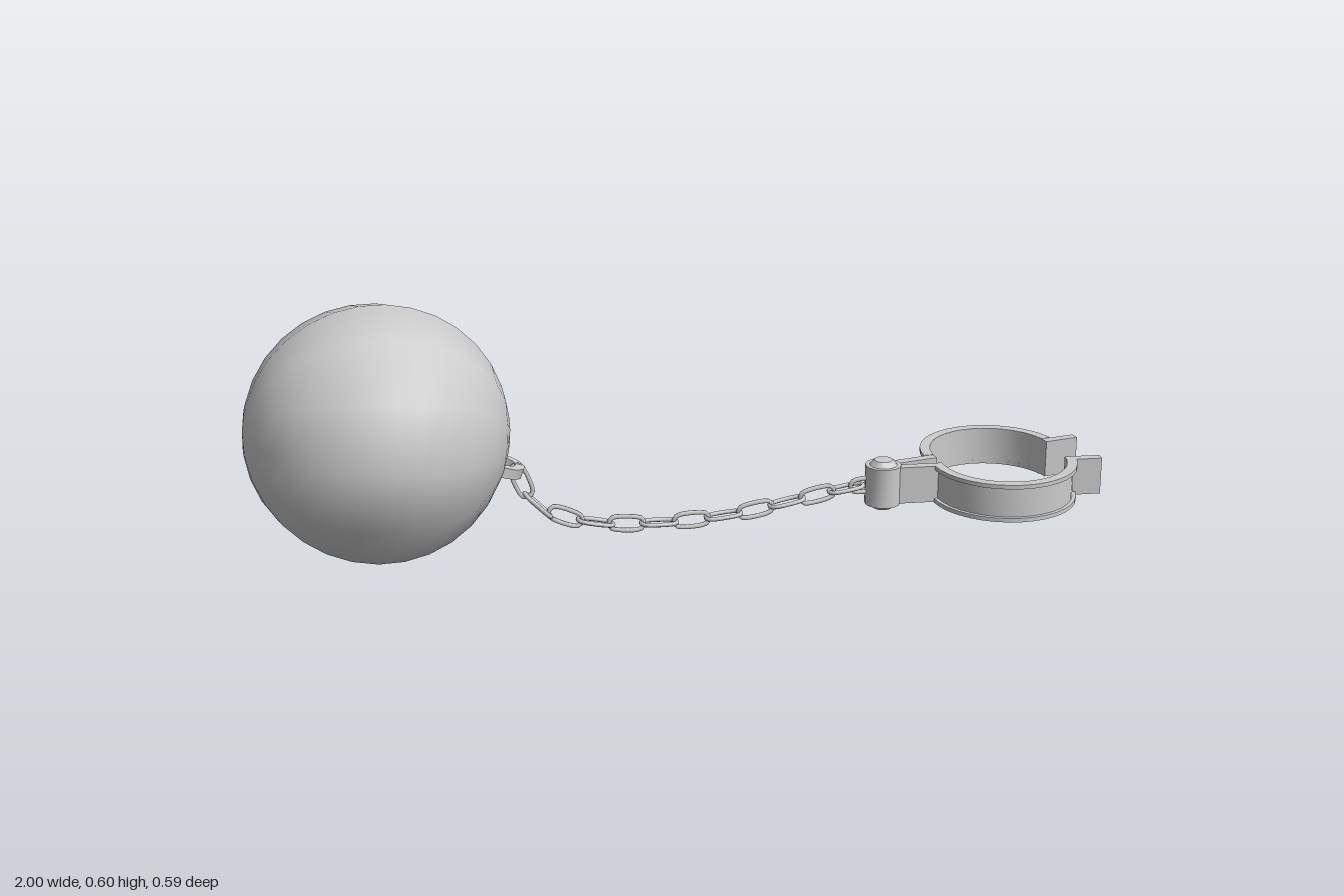
import * as THREE from 'three';
import { toCreasedNormals } from 'three/addons/utils/BufferGeometryUtils.js';

const material = new THREE.MeshStandardMaterial({ color: 0xcccccc });

function addMesh(parent, name, geometry, x = 0, y = 0, z = 0) {
  const mesh = new THREE.Mesh(geometry, material);
  mesh.name = name;
  mesh.position.set(x, y, z);
  parent.add(mesh);
  return mesh;
}

// Points on an arc, angles in radians
function arc(cx, r, from, to, steps) {
  return Array.from({ length: steps + 1 }, (_, i) => {
    const a = from + (to - from) * i / steps;
    return new THREE.Vector2(cx + r * Math.cos(a), r * Math.sin(a));
  });
}

// Flat plan outline extruded upwards and centred on y = 0
function plate(points, height) {
  const geo = new THREE.ExtrudeGeometry(new THREE.Shape(points), { depth: height, bevelEnabled: false });
  geo.translate(0, 0, -height / 2);
  geo.rotateX(-Math.PI / 2);
  return toCreasedNormals(geo, 0.6);
}

// One oval chain link, long axis along x, lying in the xy plane
function linkGeometry(length, width, wire) {
  const r = width / 2 - wire, h = length / 2 - wire - r;
  const pts = [];
  for (const side of [1, -1]) {
    for (let i = 0; i <= 4; i++) {
      const a = -Math.PI / 2 + Math.PI * i / 4;
      pts.push(new THREE.Vector3(side * (h + r * Math.cos(a)), side * r * Math.sin(a), 0));
    }
  }
  const curve = new THREE.CatmullRomCurve3(pts, true);
  return new THREE.TubeGeometry(curve, 20, wire, 6, true);
}

export function createModel() {
  const model = new THREE.Group();
  model.name = 'ballAndChain';

  // Heavy ball, its pole turned sideways
  const ball = addMesh(model, 'ball', new THREE.SphereGeometry(0.293, 12, 16), -0.709, 0.304, 0);
  ball.rotation.z = THREE.MathUtils.degToRad(-96);

  // Half-ring staple on the ball
  const stapleOutline = [
    new THREE.Vector2(-0.035, -0.052), ...arc(0, 0.052, -Math.PI / 2, Math.PI / 2, 6),
    new THREE.Vector2(-0.035, 0.052), new THREE.Vector2(-0.035, 0.03),
    ...arc(0, 0.03, Math.PI / 2, -Math.PI / 2, 6), new THREE.Vector2(-0.035, -0.03),
  ];
  const staple = addMesh(model, 'staple', plate(stapleOutline, 0.024), -0.434, 0.2, 0);
  staple.rotation.z = THREE.MathUtils.degToRad(-20);

  // Sagging chain: x, y and slope in degrees, alternately upright and flat
  const links = [
    [-0.388, 0.156, -68], [-0.352, 0.094, -46], [-0.288, 0.06, -25], [-0.218, 0.039, -13],
    [-0.145, 0.028, -7], [-0.068, 0.022, -3], [0.01, 0.021, 0], [0.087, 0.024, 4],
    [0.165, 0.031, 7], [0.241, 0.042, 9], [0.316, 0.053, 9], [0.387, 0.062, 7], [0.44, 0.066, 2],
  ];
  const chain = new THREE.Group();
  chain.name = 'chain';
  model.add(chain);
  const linkGeo = linkGeometry(0.096, 0.042, 0.0055);
  links.forEach(([x, y, slope], i) => {
    const link = addMesh(chain, 'chainLink', linkGeo, x, y, -0.006);
    link.rotation.order = 'ZYX';
    link.rotation.z = THREE.MathUtils.degToRad(slope);
    link.rotation.x = i % 2 ? Math.PI / 2 : 0;
  });

  // Open shackle, built around its hinge
  const shackle = new THREE.Group();
  shackle.name = 'shackle';
  shackle.position.set(0.478, 0.066, -0.004);
  model.add(shackle);

  const cx = 0.292, inner = 0.15, wall = 0.165, rim = 0.174, thick = 0.022;
  const start = Math.asin(thick / wall);
  const jawOutline = [
    new THREE.Vector2(0.01, 0), ...arc(cx, inner, Math.PI, 0, 16),
    new THREE.Vector2(0.527, 0), new THREE.Vector2(0.527, thick),
    ...arc(cx, wall, start, Math.PI - start, 16), new THREE.Vector2(0.01, thick),
  ];
  const rimOutline = [
    ...arc(cx, rim, start, Math.PI - start, 16),
    ...arc(cx, inner, Math.PI - start, start, 16),
  ];
  const jawGeo = plate(jawOutline, 0.09);
  const rimGeo = plate(rimOutline, 0.01);

  // Two mirrored jaws, each swung open a little
  for (const flip of [0, Math.PI]) {
    const side = new THREE.Group();
    side.name = flip ? 'frontJaw' : 'backJaw';
    side.rotation.x = flip;
    shackle.add(side);
    const jaw = new THREE.Group();
    jaw.name = 'jaw';
    jaw.rotation.y = THREE.MathUtils.degToRad(7);
    side.add(jaw);
    addMesh(jaw, 'band', jawGeo);
    for (const s of [-1, 1]) addMesh(jaw, 'rim', rimGeo, 0, s * 0.041, 0);
  }

  // Hinge barrel and pin with domed heads
  addMesh(shackle, 'hingeBarrel', toCreasedNormals(new THREE.CylinderGeometry(0.043, 0.043, 0.096, 16), 0.6));
  const pin = [[0, -0.06], [0.022, -0.06], [0.033, -0.048], [0.033, 0.048], [0.022, 0.06], [0, 0.06]];
  const pinGeo = new THREE.LatheGeometry(pin.map(([r, y]) => new THREE.Vector2(r, y)), 16);
  addMesh(shackle, 'hingePin', toCreasedNormals(pinGeo, 0.6));

  return model;
}
